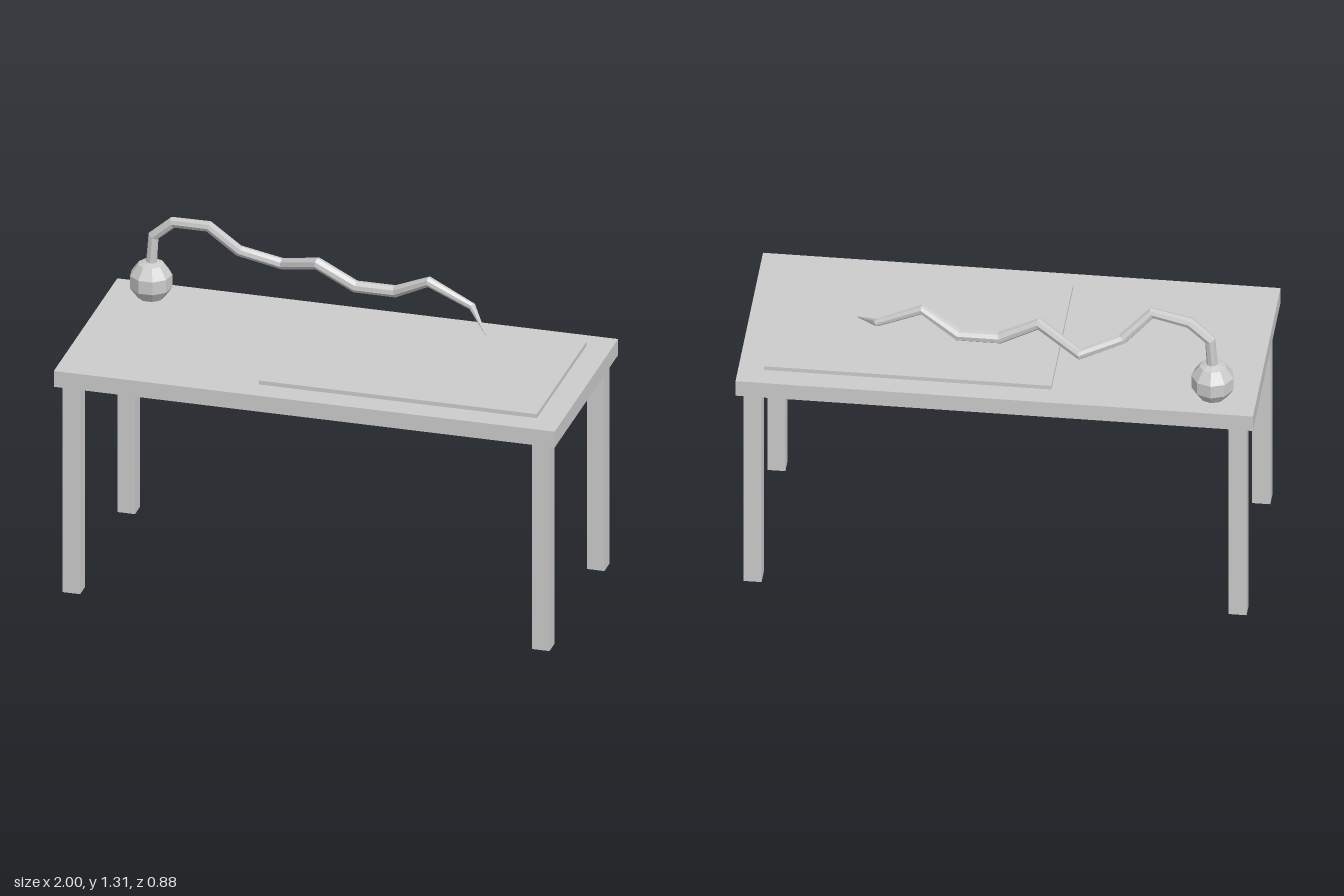
import * as THREE from 'three';

const material = new THREE.MeshStandardMaterial({ color: 0xcccccc, flatShading: true });

function add(group, name, geometry, x, y, z) {
  const mesh = new THREE.Mesh(geometry, material);
  mesh.name = name;
  mesh.position.set(x, y, z);
  group.add(mesh);
  return mesh;
}

// Faceted tube through points [x, y, z, radius], mitred at each bend
function branchGeometry(rows, sides) {
  const points = rows.map(([x, y, z]) => new THREE.Vector3(x, y, z));
  const positions = [];
  const index = [];
  const last = points.length - 1;
  const direction = (i) => points[i + 1].clone().sub(points[i]).normalize();
  const normal = new THREE.Vector3(0, 0, 1);
  points.forEach((p, i) => {
    const tangent = direction(Math.max(i - 1, 0)).add(direction(Math.min(i, last - 1))).normalize();
    normal.addScaledVector(tangent, -normal.dot(tangent)).normalize();
    const binormal = tangent.clone().cross(normal);
    for (let k = 0; k < sides; k++) {
      const a = (k / sides) * Math.PI * 2;
      const v = p.clone()
        .addScaledVector(normal, rows[i][3] * Math.cos(a))
        .addScaledVector(binormal, rows[i][3] * Math.sin(a));
      positions.push(v.x, v.y, v.z);
      if (i < last) {
        const b = i * sides + k;
        const c = i * sides + ((k + 1) % sides);
        index.push(b, c, b + sides, c, c + sides, b + sides);
      }
    }
  });
  // Caps at both ends
  for (let k = 1; k < sides - 1; k++) {
    const e = last * sides;
    index.push(0, k + 1, k, e, e + k, e + k + 1);
  }
  const geometry = new THREE.BufferGeometry();
  geometry.setAttribute('position', new THREE.Float32BufferAttribute(positions, 3));
  geometry.setIndex(index);
  geometry.computeVertexNormals();
  return geometry;
}

export function createModel() {
  const model = new THREE.Group();
  model.name = 'desk';

  // Table top and the thin mat lying on it
  add(model, 'tableTop', new THREE.BoxGeometry(2, 0.067, 0.88), 0, 0.909, 0);
  add(model, 'mat', new THREE.BoxGeometry(1.11, 0.018, 0.69), 0.345, 0.95, -0.005);

  // Four square legs
  for (const x of [-1, 1]) {
    for (const z of [-1, 1]) {
      const name = (z > 0 ? 'front' : 'back') + (x > 0 ? 'Left' : 'Right') + 'Leg';
      add(model, name, new THREE.BoxGeometry(0.07, 0.876, 0.07), x * 0.937, 0.438, z * 0.38);
    }
  }

  // Round low-poly base of the arm
  const base = add(model, 'armBase', new THREE.SphereGeometry(0.087, 9, 5), -0.83, 1.012, -0.317);
  base.rotation.y = -Math.PI / 2;

  // Crooked arm, tapering to a point
  const arm = branchGeometry([
    [-0.83, 1.06, -0.317, 0.022],
    [-0.82, 1.2, -0.317, 0.022],
    [-0.74, 1.27, -0.312, 0.022],
    [-0.59, 1.285, -0.283, 0.022],
    [-0.48, 1.18, -0.32, 0.022],
    [-0.32, 1.125, -0.365, 0.022],
    [-0.152, 1.19, -0.27, 0.024],
    [0, 1.112, -0.27, 0.024],
    [0.16, 1.112, -0.27, 0.024],
    [0.305, 1.19, -0.228, 0.021],
    [0.48, 1.11, -0.222, 0.015],
    [0.567, 1.052, -0.108, 0.002],
  ], 8);
  add(model, 'arm', arm, 0, 0, 0);

  return model;
}
